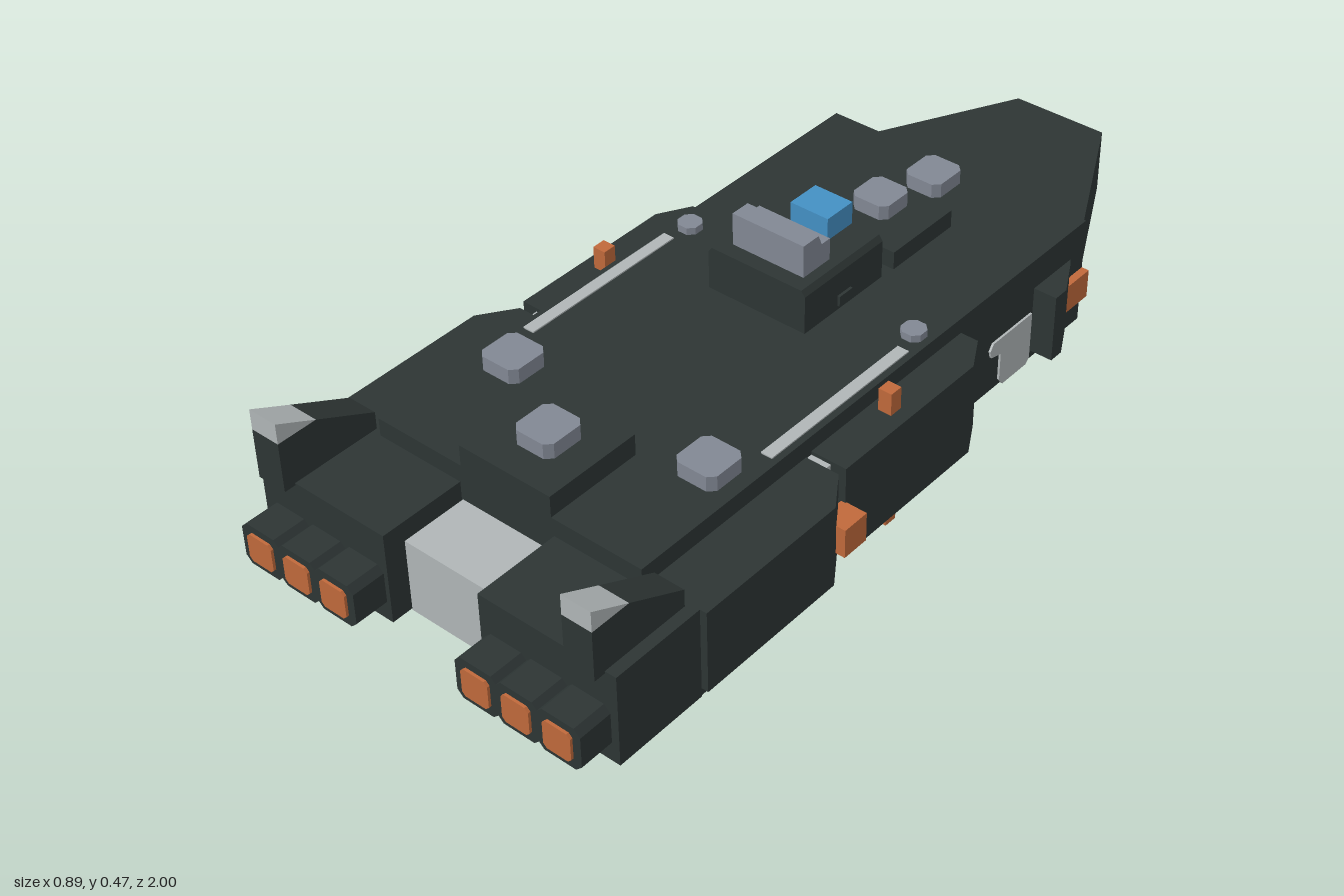
import * as THREE from 'three';

const mat = (name, color) => {
  const m = new THREE.MeshStandardMaterial({ color });
  m.name = name;
  return m;
};

export function createModel() {
  const ship = new THREE.Group();
  ship.name = 'ship';
  const dark = mat('dark hull', 0x2d3534);
  const grey = mat('blue grey', 0x828894);
  const light = mat('light grey', 0xb0b6b7);
  const orange = mat('orange', 0xc0693b);
  const blue = mat('blue', 0x4490c4);

  const add = (name, geo, m) => {
    const mesh = new THREE.Mesh(geo, m);
    mesh.name = name;
    ship.add(mesh);
  };
  const shapeOf = (pts) => new THREE.Shape(pts.map(([a, b]) => new THREE.Vector2(a, b)));
  const extrude = (pts, depth) => new THREE.ExtrudeGeometry(shapeOf(pts), { depth, bevelEnabled: false });
  // Box from its limits
  const box = (name, m, x0, x1, y0, y1, z0, z1) =>
    add(name, new THREE.BoxGeometry(Math.abs(x1 - x0), y1 - y0, z1 - z0)
      .translate((x0 + x1) / 2, (y0 + y1) / 2, (z0 + z1) / 2), m);
  // Plan outline of [x, z] points, raised from y0 to y1
  const plan = (name, m, pts, y0, y1) =>
    add(name, extrude(pts, y1 - y0).rotateX(Math.PI / 2).translate(0, y1, 0), m);
  // Front outline of [x, y] points, running from z0 to z1
  const front = (name, m, pts, z0, z1) => add(name, extrude(pts, z1 - z0).translate(0, 0, z0), m);
  // Side outline of [z, y] points, running from x0 to x1
  const side = (name, m, pts, x0, x1) =>
    add(name, extrude(pts.map(([z, y]) => [-z, y]), x1 - x0).rotateY(Math.PI / 2).translate(x0, 0, 0), m);
  // Rectangle with cut corners
  const cut = (cx, cy, w, h, c) => {
    const a = w / 2, b = h / 2;
    return [[-a + c, -b], [a - c, -b], [a, -b + c], [a, b - c], [a - c, b], [-a + c, b], [-a, b - c], [-a, -b + c]]
      .map(([x, y]) => [x + cx, y + cy]);
  };

  // Hull, nose and keel
  box('hull', dark, -0.32, 0.32, 0.06, 0.305, -0.615, 0.73);
  box('noseCollar', dark, -0.275, 0.275, 0.09, 0.242, -0.655, -0.61);
  box('noseBand', light, -0.272, 0.272, 0.095, 0.241, -0.69, -0.655);
  plan('nose', dark, [[-0.27, -0.69], [-0.11, -1], [0.11, -1], [0.27, -0.69]], 0.095, 0.24);
  front('keel', light, cut(0, 0.0325, 0.495, 0.045, 0.011), -0.61, 0.72);
  box('keelMount', dark, -0.23, 0.23, 0.05, 0.062, -0.6, 0.71);
  box('sternBlock', light, -0.112, 0.112, 0.06, 0.225, 0.72, 0.875);

  for (const s of [1, -1]) {
    const mir = (pts) => pts.map(([x, z]) => [s * x, z]);
    const range = (a, b) => (s > 0 ? [a, b] : [-b, -a]);

    // Side pods
    plan('rearPod', dark, mir([[0.3, 0.285], [0.395, 0.285], [0.447, 0.36], [0.447, 0.71], [0.3, 0.71]]), 0.08, 0.265);
    box('rearPodBase', dark, ...range(0.3, 0.43), 0.06, 0.1, 0.36, 0.74);
    plan('middlePod', dark, mir([[0.3, -0.19], [0.36, -0.19], [0.4, -0.12], [0.4, 0.27], [0.3, 0.27]]), 0.06, 0.27);
    box('podJoint', light, ...range(0.31, 0.365), 0.2, 0.262, 0.268, 0.288);
    plan('frontSponson', dark, mir([[0.3, -0.6], [0.332, -0.55], [0.373, -0.475], [0.373, -0.44], [0.3, -0.44]]), 0.08, 0.235);

    // Side plate between the pods
    side('sidePlate', light, [[-0.29, 0.165], [-0.3, 0.18], [-0.432, 0.18], [-0.432, 0.07], [-0.42, 0.058],
      [-0.34, 0.058], [-0.327, 0.075], [-0.327, 0.14], [-0.295, 0.148]], ...range(0.318, 0.325));

    // Thruster lights and masts
    box('rearSideLight', orange, ...range(0.39, 0.447), 0.125, 0.19, 0.267, 0.33);
    box('frontSideLight', orange, ...range(0.3, 0.337), 0.125, 0.19, -0.615, -0.535);
    box('upperMast', orange, ...range(0.34, 0.37), 0.26, 0.32, 0.068, 0.098);
    box('lowerMast', orange, ...range(0.337, 0.367), 0, 0.06, 0.068, 0.098);
    box('lowerMastBase', grey, ...range(0.32, 0.375), 0.05, 0.065, 0.055, 0.11);

    // Engine block with three nozzles
    box('engineBlock', dark, ...range(0.115, 0.432), 0.06, 0.265, 0.71, 0.92);
    for (const x of [0.175, 0.27, 0.365]) {
      front('nozzle', dark, cut(s * x, 0.138, 0.1, 0.096, 0.014), 0.91, 0.994);
      front('nozzleGlow', orange, cut(s * x, 0.138, 0.064, 0.064, 0.008), 0.992, 1);
    }

    // Tail fin with light tip
    side('tailFin', dark, [[0.72, 0.26], [0.945, 0.26], [0.945, 0.37], [0.855, 0.37], [0.72, 0.303]], ...range(0.34, 0.407));
    side('tailFinTip', light, [[0.855, 0.37], [0.945, 0.37], [0.945, 0.415]], ...range(0.34, 0.407));

    // Deck fittings
    box('deckStrip', light, ...range(0.28, 0.306), 0.302, 0.308, -0.04, 0.365);
    plan('deckTurret', grey, cut(s * 0.24, 0.46, 0.094, 0.094, 0.014), 0.3, 0.338);
    plan('deckStud', grey, cut(s * 0.28, -0.09, 0.048, 0.048, 0.013), 0.3, 0.321);
    box('bridgeSideBox', dark, ...range(0.1, 0.125), 0.315, 0.338, -0.1, -0.06);
  }

  // Raised deck blocks with turrets
  box('sternDeckBlock', dark, -0.11, 0.11, 0.3, 0.352, 0.51, 0.73);
  plan('sternTurret', grey, cut(0, 0.615, 0.092, 0.096, 0.014), 0.35, 0.385);
  box('foreDeckBlock', dark, -0.122, 0.122, 0.3, 0.345, -0.425, -0.235);
  plan('foreTurret', grey, cut(0, -0.35, 0.088, 0.09, 0.014), 0.34, 0.377);
  plan('bowTurret', grey, cut(0, -0.53, 0.088, 0.094, 0.014), 0.3, 0.337);

  // Bridge
  front('bridge', dark, [[-0.119, 0.3], [0.119, 0.3], [0.119, 0.39], [0.11, 0.402], [-0.11, 0.402], [-0.119, 0.39]], -0.2, 0.04);
  side('bridgeTop', grey, [[0.005, 0.4], [0.005, 0.45], [-0.02, 0.45], [-0.03, 0.474], [-0.075, 0.474], [-0.075, 0.4]]
    .map(([z, y]) => [-0.07 - z, y]), -0.087, 0.087);
  box('bridgeCanopy', blue, -0.046, 0.046, 0.4, 0.452, -0.197, -0.12);

  return ship;
}
